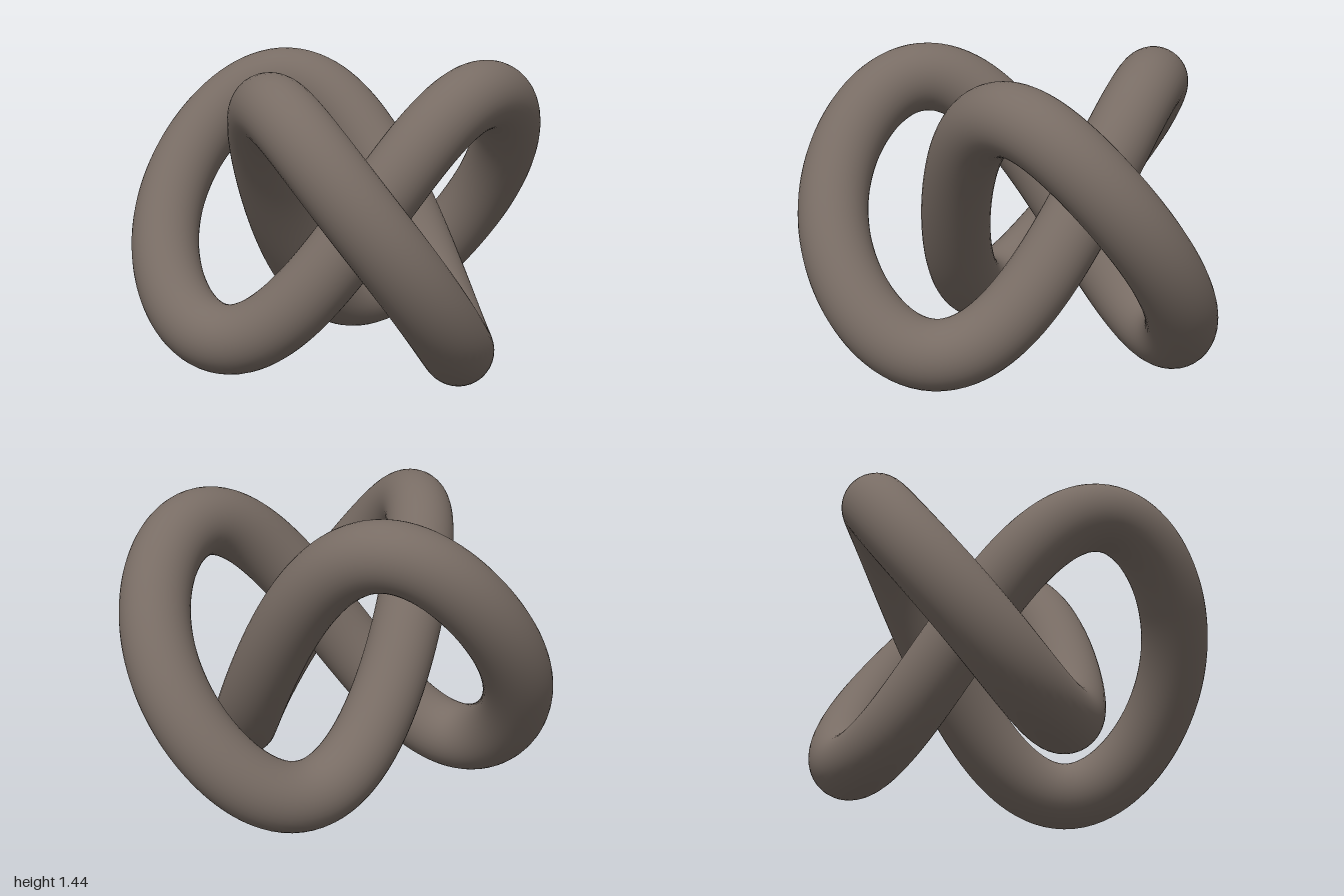
import * as THREE from 'three';

const TUBE = 0.163;

// Closed three-lobed curve that weaves over and under itself
class KnotCurve extends THREE.Curve {
  getPoint(u, target = new THREE.Vector3()) {
    const t = u * Math.PI * 2;
    const a = 0.629, b = 0.285, shift = 0.135, rise = 0.557;
    const phase = 3 * t - 0.23 * Math.sin(3 * t);
    return target.set(
      shift - a * Math.cos(2 * t) - b * Math.cos(t),
      rise + TUBE - rise * Math.sin(phase),
      a * Math.sin(2 * t) - b * Math.sin(t)
    );
  }
}

export function createModel() {
  const group = new THREE.Group();
  group.name = 'trefoilKnot';

  const material = new THREE.MeshStandardMaterial({ color: 0x786c64 });
  material.name = 'warm grey';

  // One smooth round tube following the whole knot
  const curve = new KnotCurve();
  curve.arcLengthDivisions = 800;
  const knot = new THREE.Mesh(new THREE.TubeGeometry(curve, 320, TUBE, 36, true), material);
  knot.name = 'knotTube';
  group.add(knot);

  return group;
}
